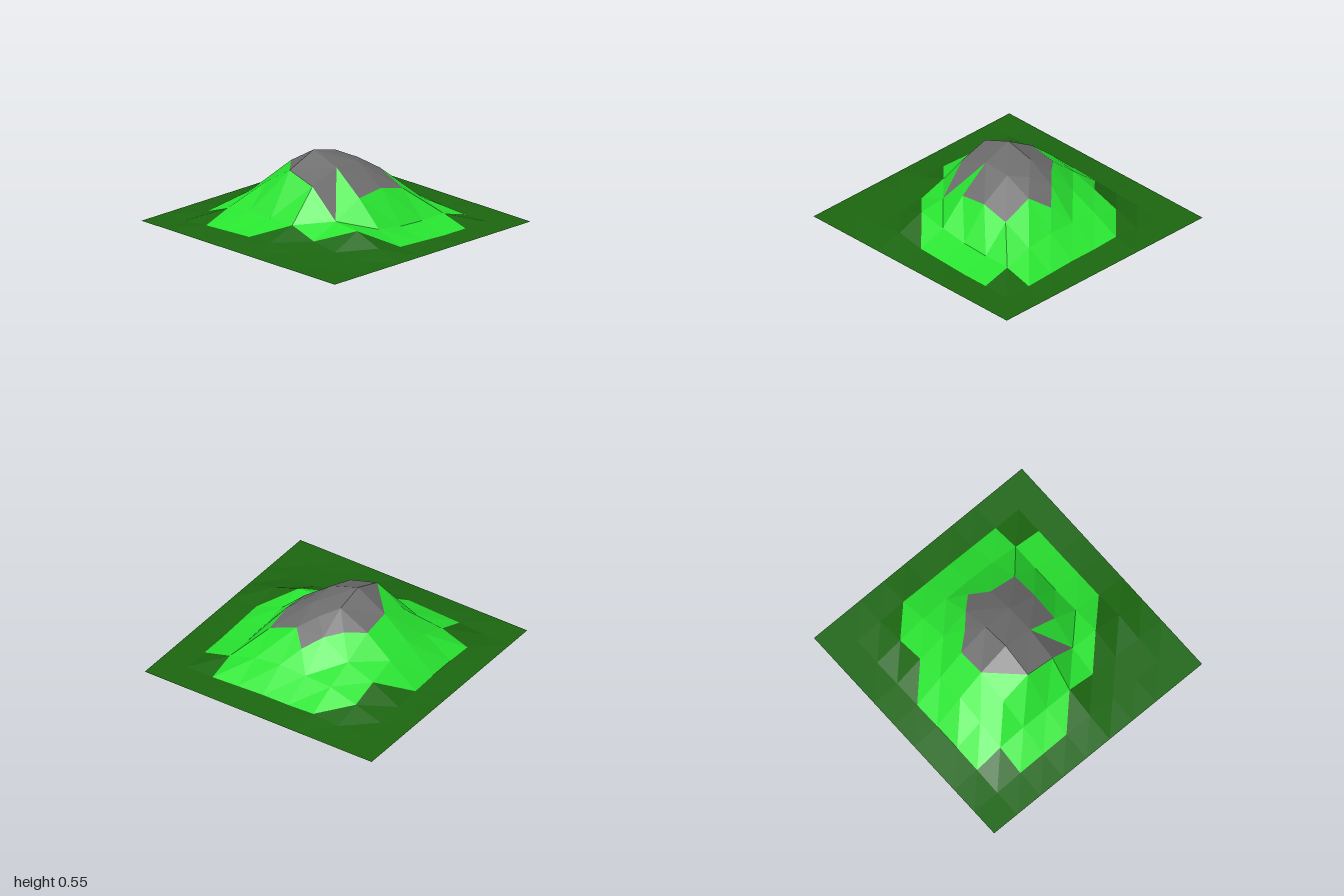
import * as THREE from 'three';

// Terrain heights at the inner grid points: rows run back to front, columns along +x
const HEIGHTS = [
  [0, .02, .03, .03, .02, .01, 0, 0],
  [.02, .10, .18, .24, .20, .14, .07, .01],
  [.03, .13, .31, .41, .37, .23, .14, .03],
  [.04, .13, .45, .55, .495, .365, .15, .02],
  [.05, .13, .38, .47, .46, .36, .16, .02],
  [.02, .06, .16, .29, .315, .26, .13, .01],
  [.01, .03, .14, .10, .07, .06, .06, 0],
  [0, .02, .06, .02, .01, 0, 0, 0],
];
const CELLS = 9;

// Outlines of the coloured zones in grid steps [column, row]
const ROCK = [[4, 3], [5, 3], [6, 4], [6.5, 4.5], [6, 5], [6, 6], [4, 6], [3, 5], [3, 4]];
const GRASS = [[2, 1], [5, 1], [6, 2], [7, 2], [8, 3], [8, 7], [7, 7], [7, 8], [4, 8],
  [2, 6], [2, 5], [1, 4], [1, 2], [2, 2]];

// Cells split along the other diagonal, and cells with a raised centre point
const FLIPPED = ['3,3', '3,5'];
const CENTRES = { '5,3': .385, '5,4': .44, '6,4': .28 };

function inside(x, z, outline) {
  let hit = false;
  outline.forEach(([ax, az], i) => {
    const [bx, bz] = outline[(i + 1) % outline.length];
    if ((az > z) !== (bz > z) && x < ax + (bx - ax) * (z - az) / (bz - az)) hit = !hit;
  });
  return hit;
}

// Grid point to model position; the steep upper points bulge slightly outwards
function position([i, j, h]) {
  const y = h ?? HEIGHTS[j - 1]?.[i - 1] ?? 0;
  let x = -1 + 2 * i / CELLS, z = -1 + 2 * j / CELLS;
  if (h === undefined && y > .25) {
    z *= 1.06;
    if (x < -.3) x *= 1.07;
  }
  return [x, y, z];
}

function cellTriangles(i, j) {
  const a = [i, j], b = [i, j + 1], c = [i + 1, j + 1], d = [i + 1, j];
  const key = `${i},${j}`;
  if (key in CENTRES) {
    const m = [i + .5, j + .5, CENTRES[key]];
    return [[a, b, m], [b, c, m], [c, d, m], [d, a, m]];
  }
  return FLIPPED.includes(key) ? [[a, b, d], [b, c, d]] : [[a, b, c], [a, c, d]];
}

export function createModel() {
  const zones = {
    rockySummit: { color: 0x6c6c6c, points: [] },
    grassySlope: { color: 0x28e430, points: [] },
    groundPlain: { color: 0x1b6610, points: [] },
  };

  // Sort each terrain facet into its zone
  for (let j = 0; j < CELLS; j++) {
    for (let i = 0; i < CELLS; i++) {
      for (const tri of cellTriangles(i, j)) {
        const x = (tri[0][0] + tri[1][0] + tri[2][0]) / 3;
        const z = (tri[0][1] + tri[1][1] + tri[2][1]) / 3;
        const name = inside(x, z, ROCK) ? 'rockySummit'
          : inside(x, z, GRASS) ? 'grassySlope' : 'groundPlain';
        tri.forEach((p) => zones[name].points.push(...position(p)));
      }
    }
  }

  const group = new THREE.Group();
  group.name = 'hill';
  for (const [name, { color, points }] of Object.entries(zones)) {
    const geometry = new THREE.BufferGeometry();
    geometry.setAttribute('position', new THREE.Float32BufferAttribute(points, 3));
    geometry.computeVertexNormals();
    const material = new THREE.MeshStandardMaterial({ color, flatShading: true, side: THREE.DoubleSide });
    const mesh = new THREE.Mesh(geometry, material);
    mesh.name = name;
    group.add(mesh);
  }
  return group;
}
